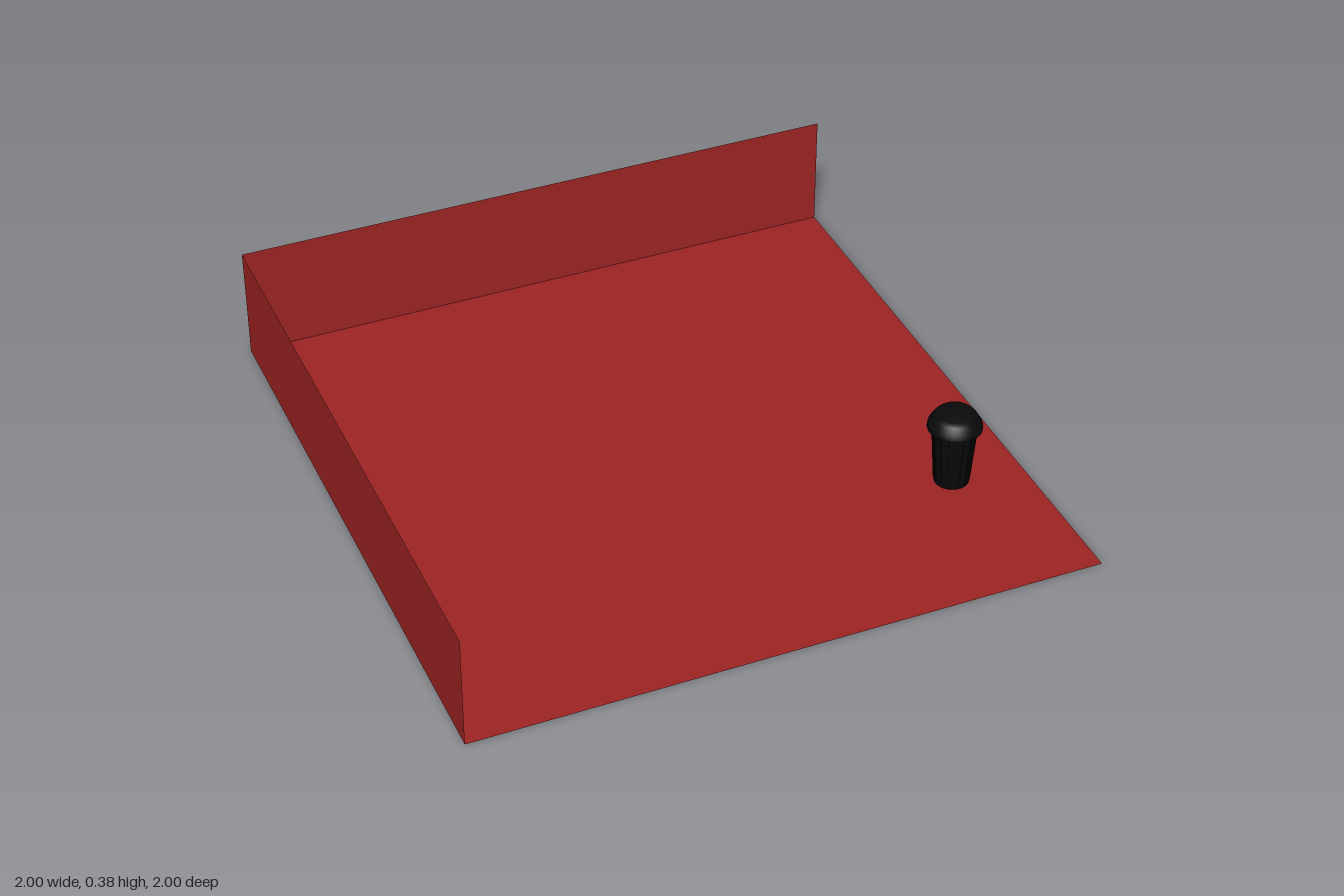
import * as THREE from 'three';

export function createModel() {
  const model = new THREE.Group();
  const red = new THREE.MeshStandardMaterial({ color: 0x9e2424, side: THREE.DoubleSide });
  red.name = 'red';
  const black = new THREE.MeshStandardMaterial({ color: 0x0a0a0a, side: THREE.DoubleSide });
  black.name = 'black';

  function add(name, geometry, material, parent = model) {
    const mesh = new THREE.Mesh(geometry, material);
    mesh.name = name;
    parent.add(mesh);
    return mesh;
  }

  // Floor and two low walls, thin sheets
  const wallHeight = 0.375;
  add('floor', new THREE.PlaneGeometry(2, 2).rotateX(-Math.PI / 2), red);
  add('backWall', new THREE.PlaneGeometry(2, wallHeight), red).position.set(0, wallHeight / 2, -1);
  add('sideWall', new THREE.PlaneGeometry(2, wallHeight).rotateY(Math.PI / 2), red)
    .position.set(-1, wallHeight / 2, 0);

  // Round bin with a tapered body and a domed, rimmed lid
  const bin = new THREE.Group();
  bin.name = 'bin';
  bin.position.set(0.772, 0, 0.47);
  model.add(bin);

  const lathe = (points) =>
    new THREE.LatheGeometry(points.map(([r, y]) => new THREE.Vector2(r, y)), 32);

  add('binBody', lathe([[0, 0.003], [0.054, 0.003], [0.069, 0.205]]), black, bin);
  add('binRim', lathe([[0.066, 0.203], [0.085, 0.205], [0.083, 0.218], [0.075, 0.232]]), black, bin);
  add('binLid', lathe([[0.075, 0.23], [0.067, 0.245], [0.056, 0.256], [0, 0.258]]), black, bin);

  // Slim ribs around the body
  const ribs = 16;
  for (let i = 0; i < ribs; i++) {
    const pivot = new THREE.Group();
    pivot.name = 'ribPivot';
    pivot.rotation.y = (i / ribs) * Math.PI * 2;
    bin.add(pivot);
    const rib = add('binRib', new THREE.BoxGeometry(0.004, 0.19, 0.008), black, pivot);
    rib.position.set(0.0615, 0.108, 0);
    rib.rotation.z = -0.074;
  }

  return model;
}
